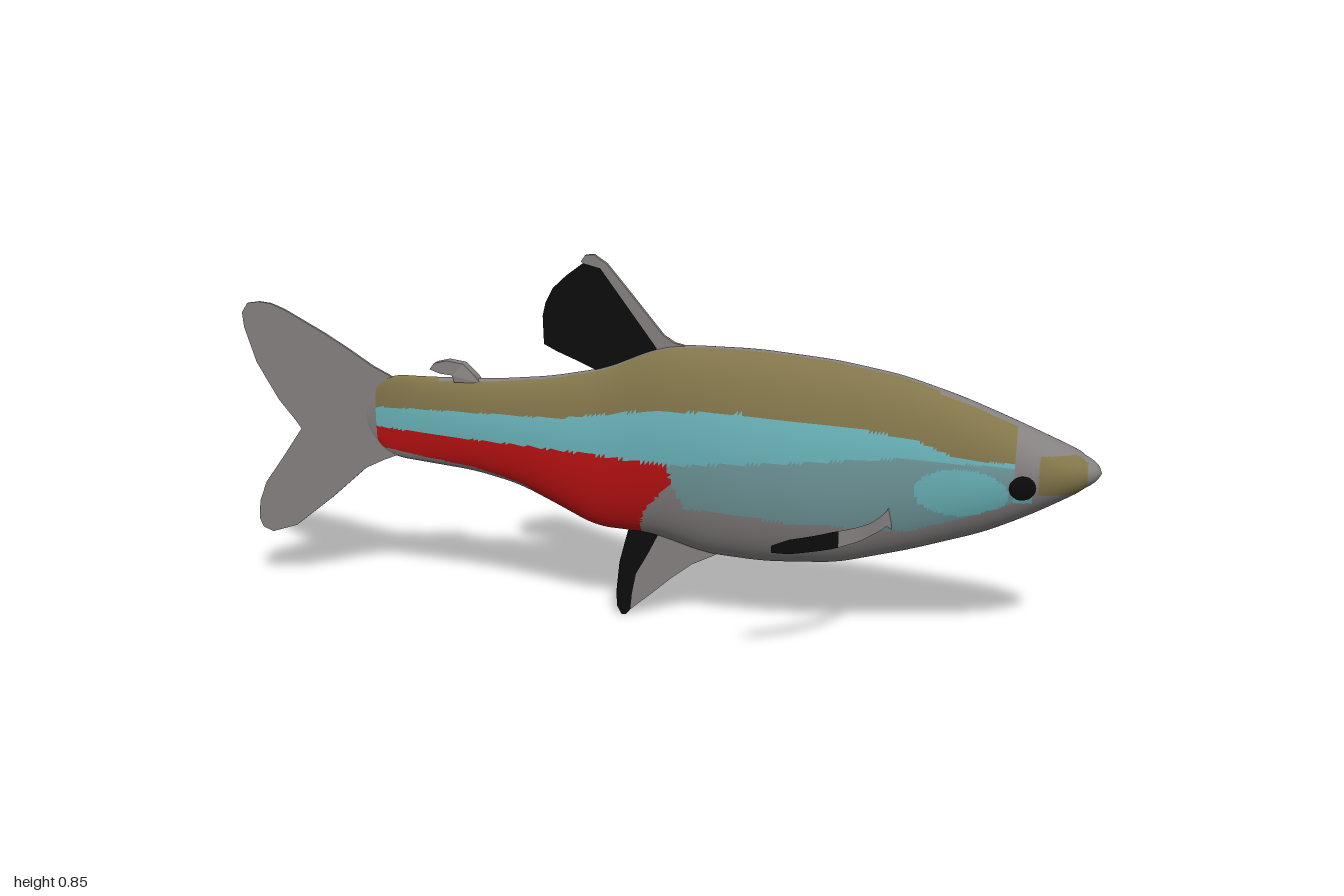
import * as THREE from 'three';

const paint = (name, color, side = THREE.FrontSide) => {
  const m = new THREE.MeshStandardMaterial({ color, side });
  m.name = name;
  return m;
};

// Linear lookup in [x, value] pairs, averaged over a small window to round it
function lookup(table, x) {
  for (let i = 1; i < table.length; i++) {
    const [x0, v0] = table[i - 1], [x1, v1] = table[i];
    if (x <= x1) return v0 + (v1 - v0) * Math.max(0, (x - x0) / (x1 - x0));
  }
  return table[table.length - 1][1];
}
function smooth(table, x) {
  const h = Math.min(0.035, x - table[0][0], table[table.length - 1][0] - x);
  let sum = 0;
  for (let k = -3; k <= 3; k++) sum += lookup(table, x + (k / 3) * h);
  return sum / 7;
}

// Body profiles along x
const TOP = [[-0.7, 0.46], [-0.675, 0.52], [-0.63, 0.55], [-0.53, 0.55], [-0.37, 0.555], [-0.23, 0.57], [-0.1, 0.597],
  [0.02, 0.65], [0.08, 0.66], [0.25, 0.66], [0.425, 0.645], [0.57, 0.62], [0.7, 0.58], [0.81, 0.537], [0.89, 0.503],
  [0.96, 0.473], [0.99, 0.455], [1, 0.43]];
const BOTTOM = [[-0.7, 0.44], [-0.68, 0.38], [-0.63, 0.35], [-0.58, 0.345], [-0.42, 0.33], [-0.31, 0.305], [-0.2, 0.255],
  [-0.125, 0.218], [0.01, 0.213], [0.14, 0.175], [0.275, 0.168], [0.44, 0.18], [0.6, 0.225], [0.76, 0.28],
  [0.86, 0.33], [0.94, 0.378], [0.985, 0.405], [1, 0.43]];
const WIDTH = [[-0.7, 0.002], [-0.66, 0.01], [-0.6, 0.02], [-0.45, 0.034], [-0.3, 0.043], [-0.1, 0.06], [0.05, 0.078],
  [0.2, 0.094], [0.35, 0.097], [0.5, 0.09], [0.65, 0.083], [0.8, 0.079], [0.88, 0.073], [0.94, 0.06],
  [0.975, 0.042], [0.993, 0.022], [1, 0]];

// Colour boundaries along x
const STRIPE_TOP = [[-0.7, 0.47], [-0.53, 0.477], [-0.2, 0.483], [0.01, 0.52], [0.22, 0.532], [0.43, 0.522],
  [0.6, 0.5], [0.7, 0.463], [0.82, 0.458]];
const STRIPE_LOW = [[-0.7, 0.425], [-0.42, 0.415], [-0.125, 0.407], [0.06, 0.4], [0.33, 0.43], [0.57, 0.455], [0.8, 0.45]];
const FLANK_LOW = [[0.05, 0.4], [0.1, 0.3], [0.35, 0.288], [0.6, 0.285], [0.7, 0.32], [0.8, 0.36], [0.86, 0.39]];
const RED_LOW = [[-0.7, 0.38], [-0.6, 0.365], [-0.42, 0.343], [-0.3, 0.312], [-0.18, 0.24], [-0.1, 0.21]];
const RED_FRONT = [[0.2, -0.02], [0.28, 0], [0.36, 0.07], [0.41, 0.06]];

const GREY = 0, OLIVE = 1, CYAN = 2, TEAL = 3, RED = 4;
function colourAt(x, y, z) {
  const side = Math.abs(z);
  if (x < -0.665) return GREY;
  if (x > 0.82) {
    if (x > 0.87 && x < 0.97 && y > 0.39 && y < 0.475 && side > 0.022) return OLIVE;
    return x < 0.86 && y > 0.37 && y < 0.43 ? CYAN : GREY;
  }
  const onTop = y > smooth(TOP, x) - 0.06;
  if (onTop && x > -0.5 && side < (x > 0.65 ? 0.022 : 0.011)) return GREY;
  if (y > lookup(STRIPE_TOP, x)) return OLIVE;
  if (y > lookup(STRIPE_LOW, x)) return CYAN;
  if (x < lookup(RED_FRONT, y)) return y > lookup(RED_LOW, x) ? RED : GREY;
  if (x > 0.05 && y > lookup(FLANK_LOW, x)) {
    return Math.hypot((x - 0.71) / 0.1, (y - 0.385) / 0.055) < 1 ? CYAN : TEAL;
  }
  return GREY;
}

// Lofted body, with its faces sorted into colour groups
function bodyGeometry() {
  const cols = 230, rows = 128, pos = [], faces = [[], [], [], [], []];
  for (let i = 0; i <= cols; i++) {
    const x = -0.7 + 1.7 * Math.sin((i / cols) * Math.PI / 2);
    const top = smooth(TOP, x), bottom = smooth(BOTTOM, x), w = smooth(WIDTH, x);
    const mid = bottom + (top - bottom) * 0.53;
    for (let j = 0; j < rows; j++) {
      const a = (j / rows) * Math.PI * 2, c = Math.cos(a);
      pos.push(x, mid + c * (c > 0 ? top - mid : mid - bottom), w * Math.sin(a));
    }
  }
  const addFace = (...ids) => {
    const [x, y, z] = [0, 1, 2].map((k) => ids.reduce((s, id) => s + pos[id * 3 + k], 0) / 3);
    faces[colourAt(x, y, z)].push(...ids);
  };
  for (let i = 0; i < cols; i++) for (let j = 0; j < rows; j++) {
    const a = i * rows + j, b = i * rows + (j + 1) % rows;
    addFace(a, b, a + rows);
    addFace(b, b + rows, a + rows);
  }
  const geo = new THREE.BufferGeometry();
  geo.setAttribute('position', new THREE.Float32BufferAttribute(pos, 3));
  geo.setIndex(faces.flat());
  let start = 0;
  faces.forEach((f, k) => { geo.addGroup(start, f.length, k); start += f.length; });
  geo.computeVertexNormals();
  return geo;
}

// Flat fin cut from an outline of [x, y] points
function fin(name, points, depth, material) {
  const shape = new THREE.Shape(points.map(([x, y]) => new THREE.Vector2(x, y)));
  const geo = new THREE.ExtrudeGeometry(shape, { depth, bevelEnabled: false });
  geo.translate(0, 0, -depth / 2);
  const mesh = new THREE.Mesh(geo, material);
  mesh.name = name;
  return mesh;
}

// Swept-back ribbon fin between two fractions of its length
const PECTORAL = new THREE.CatmullRomCurve3([[0.565, 0.325, 0.07], [0.545, 0.312, 0.1], [0.51, 0.306, 0.16],
  [0.44, 0.304, 0.23], [0.34, 0.302, 0.295]].map((p) => new THREE.Vector3(...p)));
const PECTORAL_HALF = [[0, 0.035], [0.12, 0.018], [0.4, 0.015], [0.7, 0.019], [0.92, 0.016], [1, 0.008]];
function pectoralPart(name, t0, t1, material) {
  const geo = new THREE.PlaneGeometry(1, 2, 16, 4), p = geo.attributes.position;
  for (let i = 0; i < p.count; i++) {
    const t = t0 + (t1 - t0) * (p.getX(i) + 0.5), c = PECTORAL.getPoint(t);
    p.setXYZ(i, c.x, c.y + p.getY(i) * lookup(PECTORAL_HALF, t), c.z);
  }
  geo.computeVertexNormals();
  const mesh = new THREE.Mesh(geo, material);
  mesh.name = name;
  return mesh;
}

export function createModel() {
  const grey = paint('silver grey', 0x858180, THREE.DoubleSide);
  const olive = paint('olive back', 0x82754a);
  const cyan = paint('cyan stripe', 0x6ab5bb);
  const teal = paint('pale teal flank', 0x70989b);
  const red = paint('red flank', 0xbe1212);
  const black = paint('black', 0x0c0c0c, THREE.DoubleSide);

  const fish = new THREE.Group();
  fish.name = 'fish';
  const body = new THREE.Mesh(bodyGeometry(), [grey, olive, cyan, teal, red]);
  body.name = 'body';
  fish.add(body);

  // Forked tail
  fish.add(fin('tailFin', [[-0.6, 0.53], [-0.63, 0.548], [-0.67, 0.567], [-0.73, 0.605], [-0.79, 0.64], [-0.89, 0.692],
    [-0.925, 0.705], [-0.955, 0.708], [-0.985, 0.703], [-1, 0.68], [-0.997, 0.645], [-0.97, 0.56], [-0.917, 0.47],
    [-0.875, 0.42], [-0.863, 0.402], [-0.875, 0.385], [-0.917, 0.325], [-0.965, 0.26], [-0.985, 0.21], [-0.99, 0.165],
    [-0.98, 0.143], [-0.955, 0.133], [-0.89, 0.155], [-0.79, 0.235], [-0.7, 0.315], [-0.65, 0.34], [-0.6, 0.36]], 0.007, grey));

  // Dorsal fin: dark web, pale leading edge and tip
  fish.add(fin('dorsalFinWeb', [[0.02, 0.65], [-0.11, 0.825], [-0.15, 0.835], [-0.19, 0.805], [-0.222, 0.775], [-0.24, 0.74],
    [-0.247, 0.71], [-0.245, 0.645], [-0.215, 0.63], [-0.16, 0.608], [-0.12, 0.59], [-0.05, 0.58], [0.02, 0.62]], 0.009, black));
  fish.add(fin('dorsalFinEdge', [[0.1, 0.655], [0.06, 0.664], [0.035, 0.68], [-0.04, 0.77], [-0.095, 0.835], [-0.125, 0.855],
    [-0.145, 0.853], [-0.155, 0.838], [-0.15, 0.835], [-0.11, 0.825], [0.02, 0.65], [0.02, 0.63], [0.1, 0.64]], 0.011, grey));

  // Small adipose fin, leaning to one side
  const adipose = fin('adiposeFin', [[-0.4, 0.545], [-0.412, 0.562], [-0.44, 0.588], [-0.475, 0.597], [-0.502, 0.592],
    [-0.512, 0.578], [-0.49, 0.567], [-0.465, 0.562], [-0.46, 0.545]], 0.012, grey);
  const ap = adipose.geometry.attributes.position;
  for (let i = 0; i < ap.count; i++) ap.setZ(i, ap.getZ(i) * 2 + Math.max(0, -0.44 - ap.getX(i)) * 0.4);
  adipose.geometry.computeVertexNormals();
  fish.add(adipose);

  // Lower fin: pale front, dark rear
  fish.add(fin('lowerFinFront', [[0.2, 0.2], [0.16, 0.173], [0.105, 0.145], [0.06, 0.11], [0.01, 0.065], [-0.042, 0.02],
    [-0.038, 0.06], [-0.028, 0.11], [0, 0.16], [0.025, 0.21], [0.03, 0.24]], 0.02, grey));
  fish.add(fin('lowerFinRear', [[0.03, 0.24], [0.025, 0.21], [0, 0.16], [-0.028, 0.11], [-0.038, 0.06], [-0.042, 0.02],
    [-0.053, 0.006], [-0.064, 0.006], [-0.074, 0.025], [-0.076, 0.06], [-0.068, 0.135], [-0.055, 0.185], [-0.04, 0.24]], 0.018, black));

  // Paired pectoral fins and eyes
  for (const side of [1, -1]) {
    const pair = new THREE.Group();
    pair.name = side > 0 ? 'frontSidePair' : 'backSidePair';
    pair.add(pectoralPart('pectoralFin', 0, 0.66, grey), pectoralPart('pectoralFinTip', 0.66, 1, black));
    const eye = new THREE.Mesh(new THREE.SphereGeometry(0.028, 24, 16), black);
    eye.name = 'eye';
    eye.scale.z = 0.25;
    eye.position.set(0.838, 0.406, 0.074);
    eye.rotation.set(0.15, 0.12, 0);
    pair.add(eye);
    pair.scale.z = side;
    fish.add(pair);
  }
  return fish;
}
